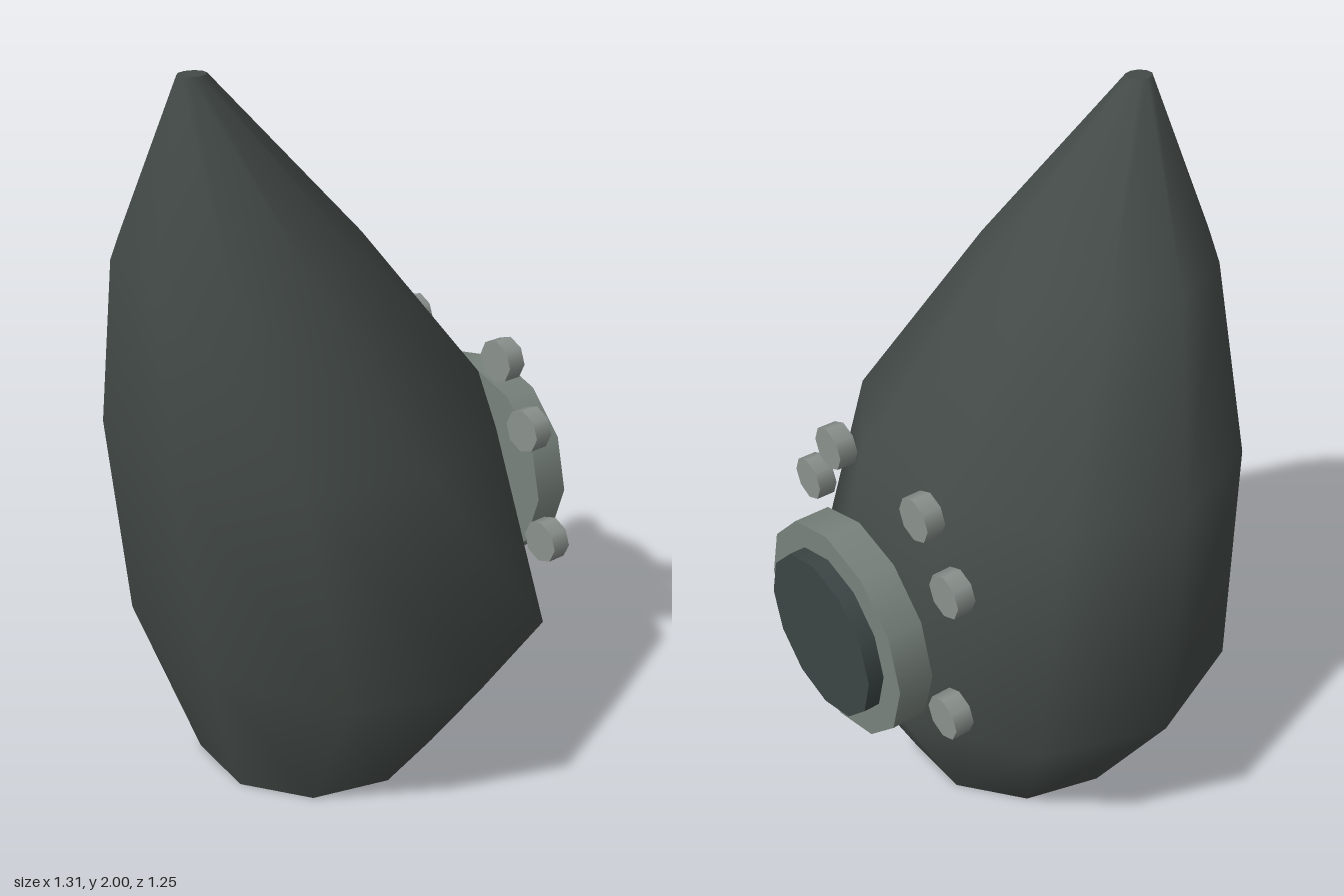
import * as THREE from 'three';

const SIDES = 10;
// Hull cross-sections: height, half width, centre z, half depth
const RINGS = [
  [0, 0.34, 0.075, 0.363],
  [0.49, 0.655, 0.025, 0.5625],
  [1.1, 0.56, 0.135, 0.51],
  [1.56, 0.32, 0.3025, 0.318],
  [2, 0.032, 0.415, 0.037],
];

function ringPoints([y, rx, cz, rz]) {
  return Array.from({ length: SIDES }, (_, i) => {
    const a = (i / SIDES) * Math.PI * 2;
    return [rx * Math.cos(a), y, cz + rz * Math.sin(a)];
  });
}

function geometryFrom(points, index) {
  const g = new THREE.BufferGeometry();
  g.setAttribute('position', new THREE.Float32BufferAttribute(points.flat(), 3));
  g.setIndex(index);
  g.computeVertexNormals();
  return g;
}

// Smooth skin lofted through the rings, mirrored diagonals on the two halves
function hullGeometry() {
  const index = [];
  for (let r = 0; r < RINGS.length - 1; r++) {
    for (let i = 0; i < SIDES; i++) {
      const j = (i + 1) % SIDES;
      const a = r * SIDES + i, b = r * SIDES + j;
      const c = a + SIDES, d = b + SIDES;
      if (Math.cos(((i + 0.5) / SIDES) * Math.PI * 2) > 0) index.push(a, c, d, a, d, b);
      else index.push(a, c, b, b, c, d);
    }
  }
  return geometryFrom(RINGS.flatMap(ringPoints), index);
}

// Flat lid over one ring
function capGeometry(ring, up) {
  const index = [];
  for (let i = 1; i < SIDES - 1; i++) index.push(0, ...(up ? [i + 1, i] : [i, i + 1]));
  return geometryFrom(ringPoints(ring), index);
}

export function createModel() {
  const group = new THREE.Group();
  const mat = (color) => new THREE.MeshStandardMaterial({ color });
  const hullMat = mat(0x434a47);
  const rimMat = mat(0x78827c);
  const lensMat = mat(0x3c4645);
  const studMat = mat(0x8a918d);

  const add = (name, geometry, material) => {
    const mesh = new THREE.Mesh(geometry, material);
    mesh.name = name;
    group.add(mesh);
    return mesh;
  };
  // Disc facing backwards, spanning z0 to z1
  const disc = (name, material, r, sides, x, y, z0, z1) => {
    const g = new THREE.CylinderGeometry(r, r, z0 - z1, sides);
    g.rotateX(-Math.PI / 2);
    add(name, g, material).position.set(x, y, (z0 + z1) / 2);
  };

  // Leaning pointed hull
  add('hull', hullGeometry(), hullMat);
  add('hullBase', capGeometry(RINGS[0], false), hullMat);
  add('hullTip', capGeometry(RINGS[RINGS.length - 1], true), hullMat);

  // Round port on the back
  disc('portRim', rimMat, 0.308, 12, 0, 0.71, -0.48, -0.58);
  disc('portLens', lensMat, 0.234, 12, 0, 0.71, -0.575, -0.625);

  // Studs arranged around the port
  for (const s of [1, -1]) {
    const side = s > 0 ? 'left' : 'right';
    disc(side + 'UpperStud', studMat, 0.061, 8, s * 0.195, 1.125, -0.39, -0.443);
    disc(side + 'MiddleStud', studMat, 0.061, 8, s * 0.315, 0.96, -0.39, -0.443);
    disc(side + 'LowerStud', studMat, 0.061, 8, s * 0.365, 0.615, -0.438, -0.493);
  }
  return group;
}
